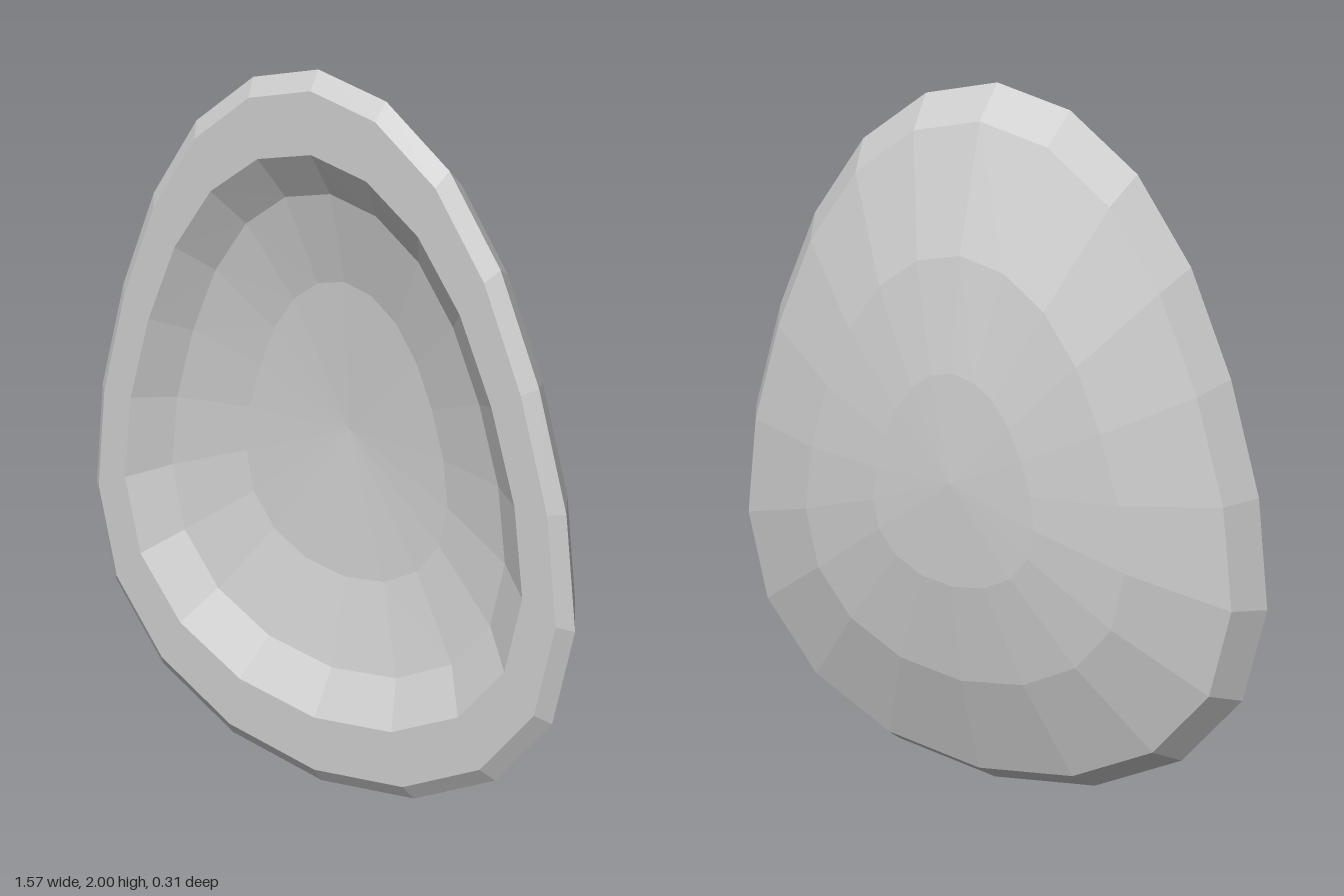
import * as THREE from 'three';

const SIDES = 20;
const HALF = SIDES / 2;

// Half-widths of the egg outline, from its narrow top to its broad base
const WIDTHS = [0, 0.204, 0.391, 0.543, 0.661, 0.75, 0.787, 0.73, 0.563, 0.309, 0];

// Rings [x scale, y scale, z]: centre of the back, round the rim, centre of the hollow
const BACK = [[0, 0, -0.153], [0.3, 0.3, -0.138], [0.6, 0.6, -0.09], [0.922, 0.922, 0.02], [1, 1, 0.12]];
const RIM = [[1, 1, 0.12], [0.953, 0.952, 0.153], [0.827, 0.79, 0.153]];
const HOLLOW = [[0.827, 0.79, 0.153], [0.695, 0.67, 0.073], [0.42, 0.42, 0.013], [0, 0, -0.012]];

// Point i of a ring, running clockwise from the top as seen from the front
function ringPoint([sx, sy, z], i) {
  const k = i % SIDES;
  const x = k <= HALF ? WIDTHS[k] : -WIDTHS[SIDES - k];
  return [x * sx, 1 + Math.cos((k / SIDES) * Math.PI * 2) * sy, z];
}

// Joins successive rings with faceted quads, or a fan where a ring closes to a point
function loft(name, rings, material) {
  const positions = [];
  for (let r = 0; r < rings.length - 1; r++) {
    for (let i = 0; i < SIDES; i++) {
      const a = ringPoint(rings[r], i);
      const b = ringPoint(rings[r], i + 1);
      const c = ringPoint(rings[r + 1], i + 1);
      const d = ringPoint(rings[r + 1], i);
      if (rings[r + 1][0] > 0) positions.push(...a, ...d, ...c);
      if (rings[r][0] > 0) positions.push(...a, ...c, ...b);
    }
  }
  const geometry = new THREE.BufferGeometry();
  geometry.setAttribute('position', new THREE.Float32BufferAttribute(positions, 3));
  geometry.computeVertexNormals();
  const mesh = new THREE.Mesh(geometry, material);
  mesh.name = name;
  return mesh;
}

export function createModel() {
  const group = new THREE.Group();
  group.name = 'eggShapedShell';
  const material = new THREE.MeshStandardMaterial({ color: 0xcccccc, flatShading: true });
  group.add(
    loft('domedBack', BACK, material),
    loft('rim', RIM, material),
    loft('hollow', HOLLOW, material),
  );
  return group;
}
